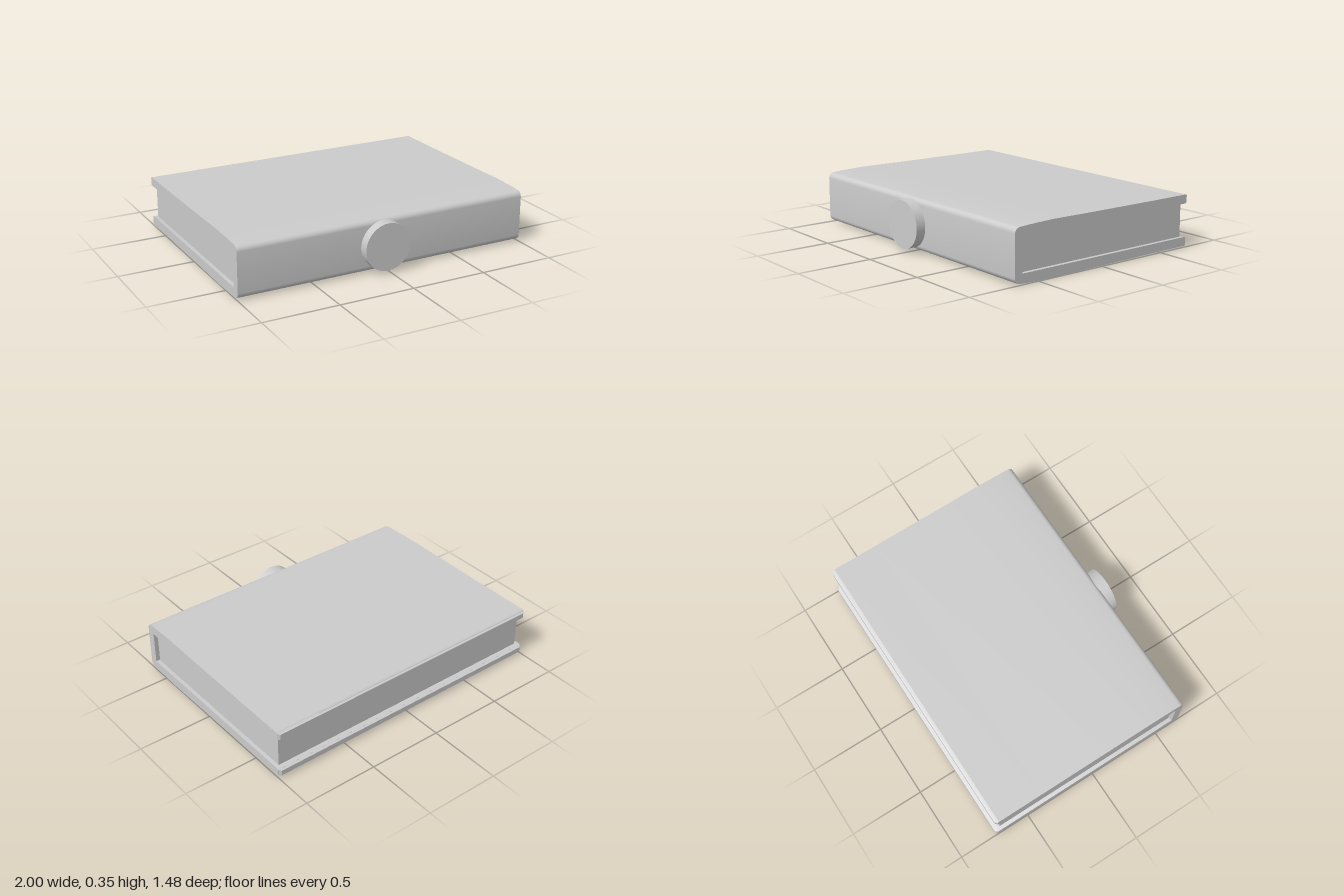
import * as THREE from 'three';
import { toCreasedNormals } from 'three/addons/utils/BufferGeometryUtils.js';

const MID = 0.176; // mid height, the book is mirrored about it

export function createModel() {
  const model = new THREE.Group();
  const material = new THREE.MeshStandardMaterial({ color: 0xcccccc });
  const add = (name, geometry, x = 0, y = 0, z = 0) => {
    const mesh = new THREE.Mesh(geometry, material);
    mesh.name = name;
    mesh.position.set(x, y, z);
    model.add(mesh);
    return mesh;
  };

  // Wrapped cover: C-shaped section [z, height above mid], from the fore edge round to the spine
  const outer = [[-0.725, 0.161], [-0.716, 0.167], [-0.4, 0.168], [0.1, 0.172], [0.4, 0.176], [0.57, 0.171]];
  for (let i = 0; i <= 6; i++) {
    const a = (i / 6) * Math.PI / 2;
    outer.push([0.64 + 0.036 * Math.sin(a), 0.131 + 0.036 * Math.cos(a)]);
  }
  const inner = [[0.62, 0.109], [-0.712, 0.109], [-0.725, 0.114]];
  const mirrored = (pts) => pts.map(([z, h]) => [z, -h]).reverse();
  const section = [...outer, ...mirrored(outer), ...mirrored(inner), ...inner];
  const shape = new THREE.Shape(section.map(([z, h]) => new THREE.Vector2(-z, MID + h)));
  const cover = new THREE.ExtrudeGeometry(shape, { depth: 2, bevelEnabled: false });
  cover.rotateY(Math.PI / 2).translate(-1, 0, 0);
  add('cover', toCreasedNormals(cover, 0.5));

  // Chamfered fore edges of the two boards
  for (const [name, side] of [['topBoardEdge', 1], ['bottomBoardEdge', -1]]) {
    const edge = new THREE.BoxGeometry(2, 0.047, 0.016);
    const p = edge.attributes.position;
    for (let i = 0; i < p.count; i++) {
      if (p.getZ(i) < 0) p.setXYZ(i, p.getX(i) * 0.985, p.getY(i) * 0.75, p.getZ(i));
    }
    edge.computeVertexNormals();
    add(name, edge, 0, MID + side * 0.1375, -0.732);
  }

  // Page block, slightly inset from the cover
  add('pages', new THREE.BoxGeometry(1.95, 0.218, 1.31), 0, MID, -0.042);

  // Round medallion on the spine
  const disc = new THREE.CylinderGeometry(0.155, 0.155, 0.08, 64).rotateX(Math.PI / 2);
  add('spineMedallion', disc, -0.025, MID, 0.7);
  return model;
}
